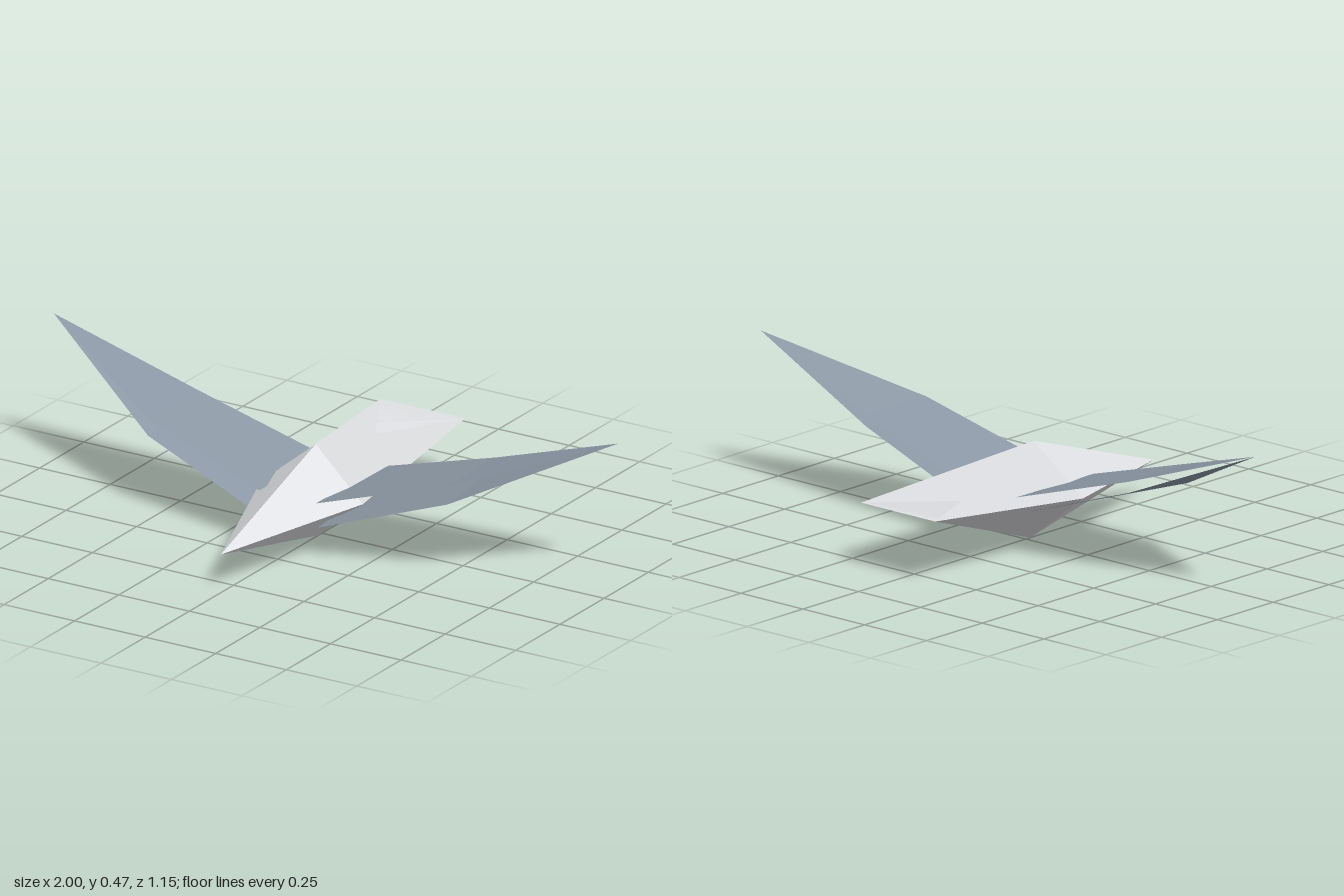
import * as THREE from 'three';

// Facets fanned from their first corner, each shaded with one mean normal
function facets(polygons) {
  const positions = [], normals = [];
  for (const polygon of polygons) {
    const corners = polygon.map((p) => new THREE.Vector3(...p));
    const normal = new THREE.Vector3();
    corners.forEach((p, i) => normal.add(p.clone().cross(corners[(i + 1) % corners.length])));
    normal.normalize();
    for (let i = 1; i < corners.length - 1; i++) {
      for (const p of [corners[0], corners[i], corners[i + 1]]) {
        positions.push(...p);
        normals.push(...normal);
      }
    }
  }
  const geometry = new THREE.BufferGeometry();
  geometry.setAttribute('position', new THREE.Float32BufferAttribute(positions, 3));
  geometry.setAttribute('normal', new THREE.Float32BufferAttribute(normals, 3));
  return geometry;
}

// Open sheet running from the wing root over a bend to the tip
function sheet(rootFront, rootBack, midFront, midBack, tip, side) {
  const triangles = [
    [rootFront, midFront, rootBack],
    [rootBack, midFront, midBack],
    [midFront, tip, midBack],
  ];
  // Reverse the corners on the mirrored side so that the top stays the front
  return facets(triangles.map((triangle) => {
    const corners = triangle.map(([x, y, z]) => [x * side, y, z]);
    return side > 0 ? corners : corners.reverse();
  }));
}

export function createModel() {
  const model = new THREE.Group();
  model.name = 'bird';

  const bodyGrey = new THREE.MeshStandardMaterial({ color: 0xe0e1e4, side: THREE.DoubleSide });
  bodyGrey.name = 'light grey';
  const wingBlue = new THREE.MeshStandardMaterial({ color: 0x8c98a5, side: THREE.DoubleSide });
  wingBlue.name = 'slate blue';

  // Body: pointed beak, ridge, keel and shoulders, folding to a thin wide tail
  const beak = [0, 0.123, 0.573], ridge = [0, 0.3, 0.035], keel = [0, 0, 0.02];
  const shoulderLeft = [0.18, 0.15, 0.056], shoulderRight = [-0.18, 0.15, 0.056];
  const tailLeft = [0.15, 0.21, -0.573], tailRight = [-0.15, 0.21, -0.573];

  const head = new THREE.Mesh(facets([
    [beak, shoulderLeft, ridge],
    [beak, ridge, shoulderRight],
    [beak, keel, shoulderLeft],
    [beak, shoulderRight, keel],
  ]), bodyGrey);
  head.name = 'head';

  const tail = new THREE.Mesh(facets([
    [tailLeft, tailRight, shoulderRight, ridge, shoulderLeft],
    [tailRight, tailLeft, shoulderLeft, keel, shoulderRight],
  ]), bodyGrey);
  tail.name = 'tail';
  model.add(head, tail);

  // Wings: an upper and a lower sheet that meet at the tip
  const tip = [1, 0.473, -0.08];
  for (const side of [1, -1]) {
    const wing = new THREE.Group();
    wing.name = side > 0 ? 'leftWing' : 'rightWing';

    const upper = new THREE.Mesh(sheet(
      [0.1, 0.182, 0.193], [0.1, 0.184, -0.155],
      [0.53, 0.31, 0.143], [0.53, 0.312, -0.13], tip, side), wingBlue);
    upper.name = 'upperWingSurface';

    const lower = new THREE.Mesh(sheet(
      [0.105, 0.104, 0.19], [0.105, 0.133, -0.155],
      [0.53, 0.25, 0.138], [0.53, 0.277, -0.13], tip, side), wingBlue);
    lower.name = 'lowerWingSurface';

    wing.add(upper, lower);
    model.add(wing);
  }
  return model;
}
